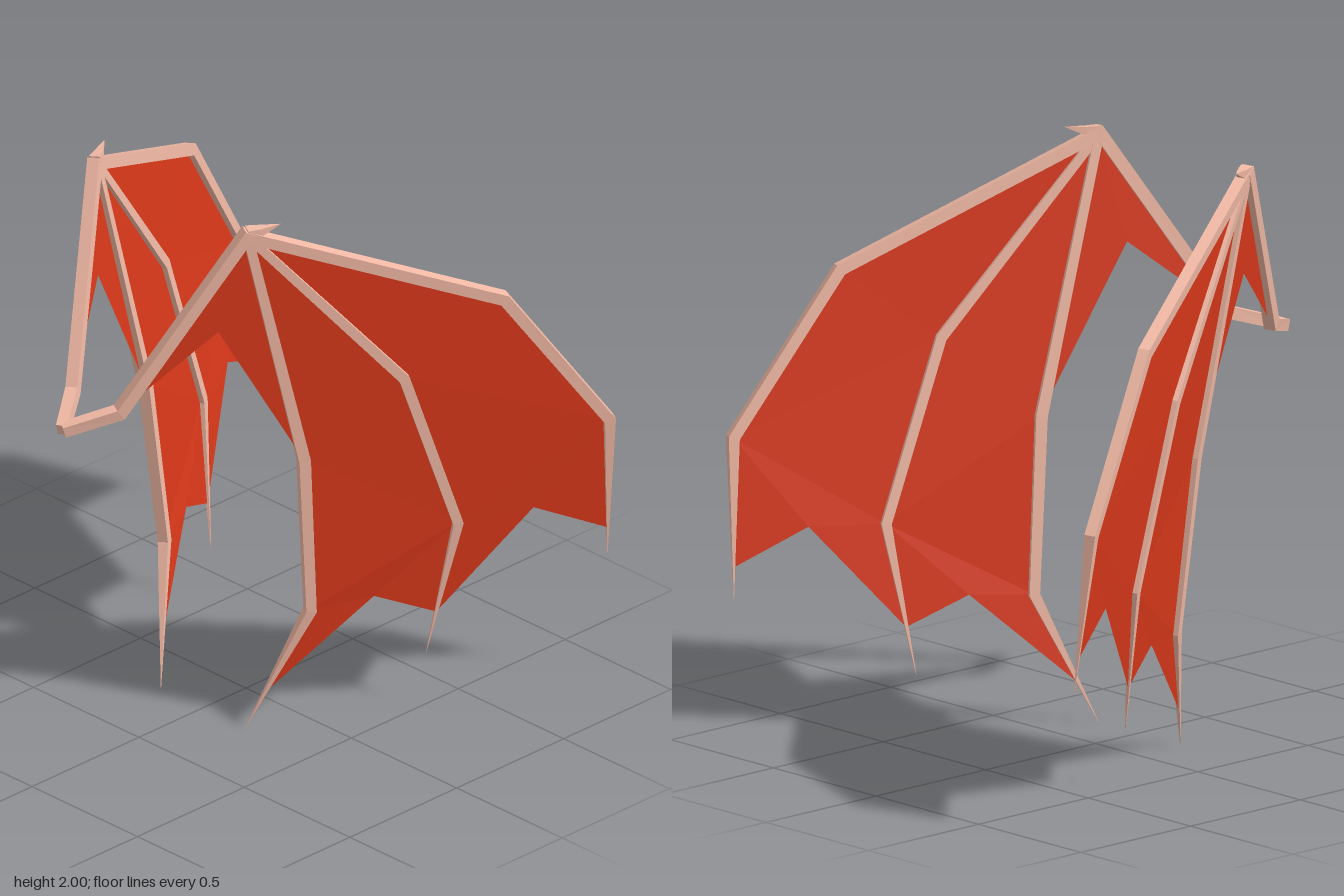
import * as THREE from 'three';

const bone = new THREE.MeshStandardMaterial({ color: 0xf0b8a4, flatShading: true });
const skin = new THREE.MeshStandardMaterial({ color: 0xd9381a, flatShading: true, side: THREE.DoubleSide });
const V = (x, y, z) => new THREE.Vector3(x, y, z);

// Joints of the left wing, which lies in one slanted plane
const normal = V(0.88, -0.09, 0.46).normalize();
const root = V(0, 1.29, 0.857), elbow = V(0.11, 1.34, 0.7), wrist = V(0.36, 1.97, 0.35);
const fingers = {
  rear: [wrist, V(0.745, 1.575, -0.47), V(0.875, 1.035, -0.835), V(0.83, 0.49, -0.872)],
  middle: [wrist, V(0.57, 1.32, -0.175), V(0.607, 0.71, -0.39), V(0.51, 0.2, -0.34)],
  front: [wrist, V(0.375, 1.04, 0.1), V(0.345, 0.44, 0.04), V(0.2, 0, 0.2)],
};

function makeMesh(name, points, tris, side, material) {
  const geo = new THREE.BufferGeometry();
  geo.setAttribute('position', new THREE.Float32BufferAttribute(points.flatMap(p => [p.x * side, p.y, p.z]), 3));
  geo.setIndex(tris.flatMap(([a, b, c]) => (side > 0 ? [a, b, c] : [a, c, b])));
  const flat = geo.toNonIndexed();
  flat.computeVertexNormals();
  const mesh = new THREE.Mesh(flat, material);
  mesh.name = name;
  return mesh;
}

// Square bar swept along a path with mitred joints and a half width per point
function bar(name, path, radii, side) {
  const points = [], tris = [], last = path.length - 1;
  path.forEach((p, i) => {
    const before = path[i].clone().sub(path[Math.max(i - 1, 0)]).normalize();
    const after = path[Math.min(i + 1, last)].clone().sub(path[i]).normalize();
    const t = before.clone().add(after).normalize();
    const mitre = 1 / t.dot(i < last ? after : before);
    const u = normal.clone().cross(t).normalize();
    for (const [a, b] of [[1, 1], [-1, 1], [-1, -1], [1, -1]]) {
      points.push(p.clone().addScaledVector(u, a * radii[i] * mitre).addScaledVector(normal, b * radii[i]));
    }
    if (i === last) return;
    for (let k = 0; k < 4; k++) {
      const a = i * 4 + k, b = i * 4 + (k + 1) % 4;
      tris.push([a, b, b + 4], [a, b + 4, a + 4]);
    }
  });
  const e = last * 4;
  tris.push([0, 3, 2], [0, 2, 1], [e, e + 1, e + 2], [e, e + 2, e + 3]);
  return makeMesh(name, points, tris, side, bone);
}

// Skin between two fingers, with a notch in its lower edge
function panel(name, a, b, aEnd, notch, bEnd, side) {
  const points = [wrist, a[1], a[2], aEnd, notch, bEnd, b[2], b[1]];
  const tris = [[0, 1, 7], [1, 6, 7], [1, 2, 6], [2, 4, 6], [2, 3, 4], [4, 5, 6]];
  return makeMesh(name, points, tris, side, skin);
}

function wing(side) {
  const g = new THREE.Group();
  g.name = side > 0 ? 'leftWing' : 'rightWing';
  const { rear, middle, front } = fingers;
  // Arm, fingers ending in claws, and the thumb claw
  g.add(bar('arm', [root, elbow, V(0.365, 1.985, 0.345)], [0.02, 0.021, 0.021], side));
  g.add(bar('rearFinger', rear, [0.02, 0.02, 0.019, 0.0005], side));
  g.add(bar('middleFinger', middle, [0.015, 0.018, 0.017, 0.0005], side));
  g.add(bar('frontFinger', front, [0.016, 0.02, 0.018, 0.0005], side));
  g.add(bar('thumbClaw', [V(0.36, 1.977, 0.35), V(0.382, 1.981, 0.31), V(0.418, 1.998, 0.25)], [0.02, 0.015, 0.0005], side));
  // Membrane panels
  const middleEnd = V(0.542, 0.36, -0.356);
  g.add(makeMesh('armMembrane', [wrist, elbow, V(0.285, 1.6, 0.41), front[1]], [[0, 1, 2], [0, 2, 3]], side, skin));
  g.add(panel('frontMembrane', front, middle, V(0.25, 0.14, 0.146), V(0.445, 0.455, -0.16), middleEnd, side));
  g.add(panel('rearMembrane', middle, rear, middleEnd, V(0.725, 0.72, -0.63), V(0.838, 0.6, -0.865), side));
  return g;
}

export function createModel() {
  const model = new THREE.Group();
  model.name = 'wings';
  model.add(wing(1), wing(-1));
  return model;
}
